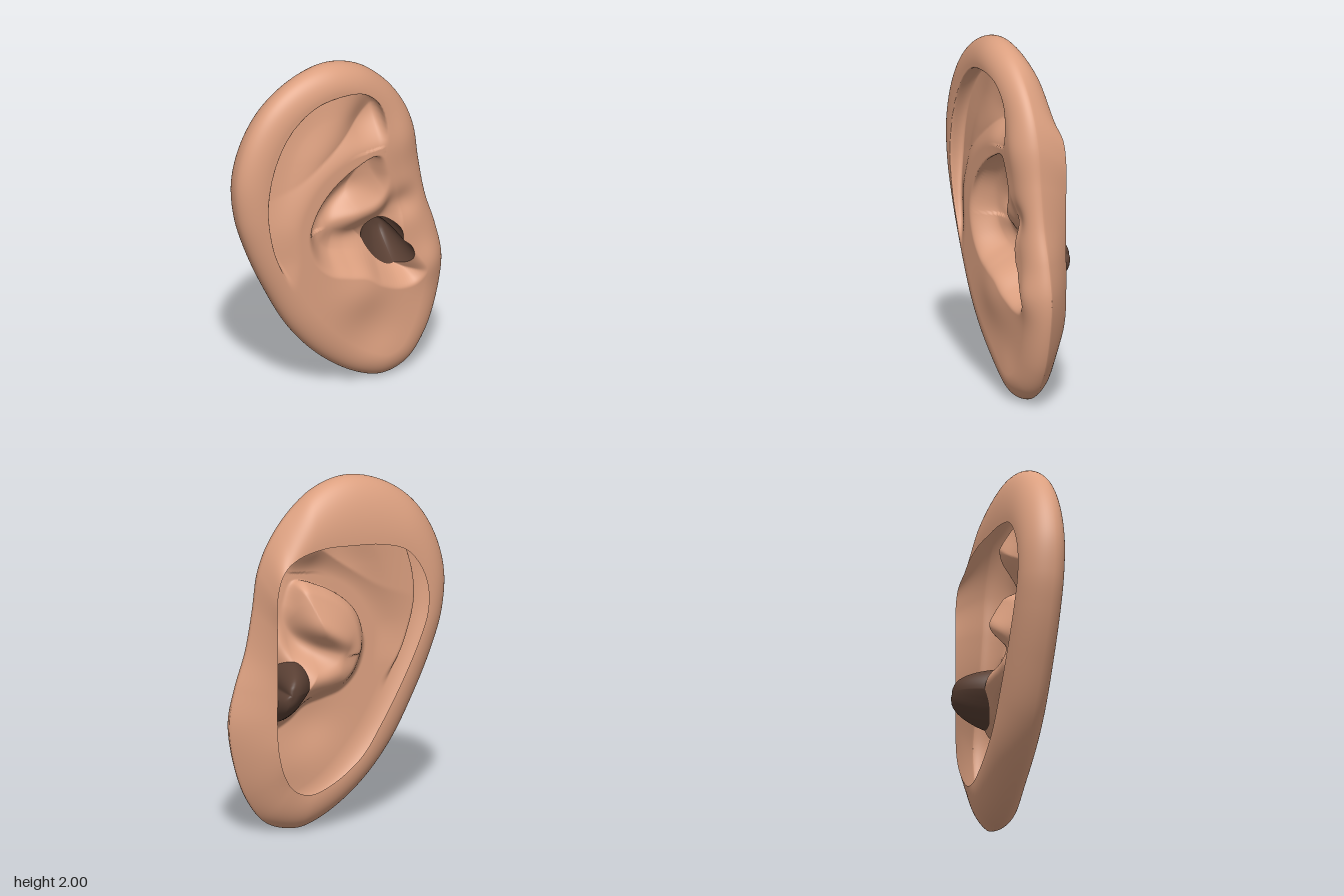
import * as THREE from 'three';

const closedCurve = (pts) => new THREE.CatmullRomCurve3(pts.map(([x, y]) => new THREE.Vector3(x, y, 0)), true);
const openLine = (pts) => new THREE.CatmullRomCurve3(pts.map(([x, y]) => new THREE.Vector3(x, y, 0))).getPoints(70);
const closedLine = (pts) => closedCurve(pts).getPoints(120);

// Outer silhouette and the matching edge of the open back, both clockwise from the top
const outline = closedCurve([[-0.07, 2], [0.13, 1.95], [0.3, 1.82], [0.42, 1.66], [0.485, 1.5], [0.52, 1.28], [0.565, 1.05],
  [0.63, 0.85], [0.67, 0.65], [0.64, 0.42], [0.56, 0.2], [0.44, 0.05], [0.28, 0], [0.12, 0.045], [-0.11, 0.2], [-0.31, 0.42],
  [-0.475, 0.71], [-0.59, 0.97], [-0.65, 1.17], [-0.665, 1.4], [-0.6, 1.63], [-0.47, 1.82], [-0.28, 1.95]]);
const backEdge = closedCurve([[-0.03, 1.635], [0.15, 1.64], [0.32, 1.6], [0.42, 1.52], [0.46, 1.38], [0.46, 1.2], [0.46, 1],
  [0.46, 0.82], [0.46, 0.65], [0.45, 0.5], [0.41, 0.36], [0.34, 0.26], [0.24, 0.225], [0.1, 0.27], [-0.08, 0.4], [-0.2, 0.57],
  [-0.35, 0.83], [-0.45, 1.04], [-0.5, 1.19], [-0.5, 1.34], [-0.45, 1.47], [-0.36, 1.57], [-0.2, 1.62]]);
const edgeLine = outline.getPoints(200);

// Inner lip of the helix, the forked antihelix, the concha bowl and the crus
const helixLip = openLine([[0.25, 1.36], [0.275, 1.5], [0.23, 1.7], [0.11, 1.81], [-0.05, 1.83], [-0.2, 1.8], [-0.35, 1.69],
  [-0.46, 1.5], [-0.51, 1.25], [-0.48, 1], [-0.42, 0.83], [-0.35, 0.68]]);
const antihelix = openLine([[-0.33, 0.66], [-0.29, 0.85], [-0.29, 1.08], [-0.17, 1.29], [0.03, 1.41], [0.25, 1.45]]);
const upperFork = openLine([[-0.29, 1.08], [-0.2, 1.34], [-0.06, 1.58], [0.05, 1.78]]);
const fossa = [...helixLip, ...antihelix];
const concha = closedLine([[0.22, 1.4], [0.05, 1.35], [-0.1, 1.25], [-0.2, 1.12], [-0.245, 0.98], [-0.2, 0.82], [-0.1, 0.72],
  [0.02, 0.68], [0.13, 0.65], [0.23, 0.58], [0.36, 0.53], [0.47, 0.54], [0.525, 0.61], [0.48, 0.7], [0.42, 0.78],
  [0.385, 0.88], [0.38, 1], [0.35, 1.13], [0.29, 1.28]]);
const crus = openLine([[0.31, 1.38], [0.305, 1.24], [0.25, 1.11], [0.13, 1.02], [-0.04, 0.96]]);
const aboveCrus = [...crus, { x: -0.4, y: 0.96 }, { x: -0.4, y: 1.5 }, { x: 0.3, y: 1.5 }];

function distanceTo(x, y, line) {
  let best = 1e9;
  for (let i = 0; i < line.length - 1; i++) {
    const a = line[i], dx = line[i + 1].x - a.x, dy = line[i + 1].y - a.y;
    const t = Math.min(1, Math.max(0, ((x - a.x) * dx + (y - a.y) * dy) / (dx * dx + dy * dy + 1e-12)));
    best = Math.min(best, (x - a.x - t * dx) ** 2 + (y - a.y - t * dy) ** 2);
  }
  return Math.sqrt(best);
}
function inside(x, y, poly) {
  let hit = false;
  for (let i = 0, j = poly.length - 1; i < poly.length; j = i++) {
    const a = poly[i], b = poly[j];
    if ((a.y > y) !== (b.y > y) && x < ((b.x - a.x) * (y - a.y)) / (b.y - a.y) + a.x) hit = !hit;
  }
  return hit;
}
const bell = (d, w) => Math.exp(-((d / w) ** 2));
const smooth = (d, w) => THREE.MathUtils.smoothstep(d, 0, w);
const EDGE_Z = 0.05;

// Point of the front surface over (x, y); floors are tucked a little under the lips
function surface(x, y) {
  const bump = (cx, cy, w, amount) => amount * bell(Math.hypot(x - cx, y - cy), w);
  let px = x, py = y;
  const tuck = (d, cx, cy, amount) => {
    const r = Math.hypot(x - cx, y - cy), push = amount * smooth(d, 0.035) * (1 - smooth(d - 0.035, 0.13));
    px += ((x - cx) / r) * push;
    py += ((y - cy) / r) * push;
  };
  let z = 0.15 + bump(0.1, 0.57, 0.16, 0.025) + bump(0.55, 0.66, 0.12, 0.025) + bump(0.15, 0.34, 0.2, -0.012)
    + bump(0.26, 0.14, 0.14, 0.014) + bump(0, 1.9, 0.28, 0.018) + bump(0.36, 1.46, 0.15, 0.02) + bump(0.38, 1.06, 0.09, -0.035);
  if (inside(x, y, fossa)) {
    const low = distanceTo(x, y, antihelix), fork = distanceTo(x, y, upperFork), lip = distanceTo(x, y, helixLip);
    const ridge = Math.max(bell(low, 0.16), 0.75 * bell(fork, 0.17) * (1 - 0.4 * smooth(y - 1.45, 0.35)));
    z -= 0.095 * smooth(lip, 0.045) * (1 - ridge) + 0.045 * bell(Math.hypot(x - 0.18, y - 1.6), 0.12) * smooth(lip, 0.06);
    tuck(lip, -0.1, 1.3, 0.04 * (1 - bell(low, 0.14)));
  }
  if (inside(x, y, concha)) {
    const d = distanceTo(x, y, concha);
    // Crus sinking from the helix root into the bowl, steeper on its upper side
    const root = bell(distanceTo(x, y, crus), inside(x, y, aboveCrus) ? 0.075 : 0.115) * (0.3 + 0.65 * smooth(x + 0.05, 0.35));
    const wall = 0.13 - 0.055 * smooth(y - 0.85, 0.35);
    z -= (0.08 * smooth(d, wall) + 0.14 * smooth(d, 0.24)) * (1 - root);
    tuck(d, 0.1, 0.95, 0.035 * smooth(y - 0.95, 0.25) * (1 - root) * smooth(0.25 - x, 0.1));
  }
  // Rounded roll towards the silhouette
  const e = Math.min(1, distanceTo(x, y, edgeLine) / 0.15);
  return [px, py, EDGE_Z + (z - EDGE_Z) * Math.sqrt(1 - (1 - e) ** 2)];
}

// Opening of the ear canal: a tilted oval, pinched where the tragus covers it
const CX = 0.33, CY = 0.8;
function canalPoint(angle) {
  const a = angle + 1.12;
  let r = 1 / Math.hypot(Math.cos(a) / 0.175, Math.sin(a) / 0.105);
  r *= 1 - 0.45 * bell(angle - 0.5, 0.7);
  return [CX + r * Math.cos(angle), CY + r * Math.sin(angle)];
}

// Joins closed rings of points into one smooth surface
function loft(rings, material, name) {
  const n = rings[0].length, index = [];
  for (let j = 0; j < rings.length - 1; j++) {
    for (let i = 0; i < n; i++) {
      const k = (i + 1) % n, a = j * n + i, b = j * n + k;
      index.push(a, b, b + n, a, b + n, a + n);
    }
  }
  const geometry = new THREE.BufferGeometry();
  geometry.setAttribute('position', new THREE.Float32BufferAttribute(rings.flat(2), 3));
  geometry.setIndex(index);
  geometry.computeVertexNormals();
  const mesh = new THREE.Mesh(geometry, material);
  mesh.name = name;
  return mesh;
}

export function createModel() {
  const skin = new THREE.MeshStandardMaterial({ color: 0xdca080, side: THREE.DoubleSide });
  skin.name = 'skin';
  const dark = new THREE.MeshStandardMaterial({ color: 0x5a4034, side: THREE.DoubleSide });
  dark.name = 'canal brown';

  const N = 320, FRONT = 150, RIM = 16;
  const outer = [], back = [], hole = [];
  for (let i = 0; i < N; i++) {
    const p = outline.getPoint(i / N), q = backEdge.getPoint(i / N);
    outer.push(p);
    back.push(q);
    hole.push(canalPoint(Math.atan2(p.y - CY, p.x - CX)));
  }

  // Front surface from the canal to the silhouette
  const rings = [];
  for (let j = 0; j <= FRONT; j++) {
    const t = 1 - (1 - j / FRONT) ** 1.4;
    rings.push(outer.map((p, i) => (j === FRONT ? [p.x, p.y, EDGE_Z]
      : surface(hole[i][0] + (p.x - hole[i][0]) * t, hole[i][1] + (p.y - hole[i][1]) * t))));
  }
  // Rim curling round to the open back; flatter beside the cheek
  for (let j = 1; j <= RIM; j++) {
    const a = (j / RIM) * Math.PI / 2;
    rings.push(outer.map((p, i) => {
      const q = back[i], cheek = 0.85 * smooth(q.x - 0.2, 0.26);
      const s = THREE.MathUtils.lerp(1 - Math.cos(a), j / RIM, cheek);
      const d = THREE.MathUtils.lerp(Math.sin(a), j / RIM, cheek);
      const endZ = -0.111 - 0.018 * smooth(q.x - 0.36, 0.1);
      return [p.x + (q.x - p.x) * s, p.y + (q.y - p.y) * s, EDGE_Z + (endZ - EDGE_Z) * d];
    }));
  }

  // Canal: a dark pocket with a rounded end behind the opening
  const canalRings = [];
  for (let j = 0; j <= 12; j++) {
    const a = (j / 12) * Math.PI / 2, k = Math.cos(a) ** 0.6, s = Math.sin(a);
    canalRings.push(hole.map(([x, y], i) => {
      const z = rings[0][i][2], shrink = j === 12 ? 0 : k * (1 - 0.25 * s);
      return [CX + 0.06 * s + (x - CX) * shrink, CY + 0.03 * s + (y - CY) * shrink, z + (-0.175 - z) * s];
    }));
  }
  canalRings.reverse();

  const ear = new THREE.Group();
  ear.name = 'ear';
  ear.add(loft(rings, skin, 'auricle'), loft(canalRings, dark, 'earCanal'));
  return ear;
}
